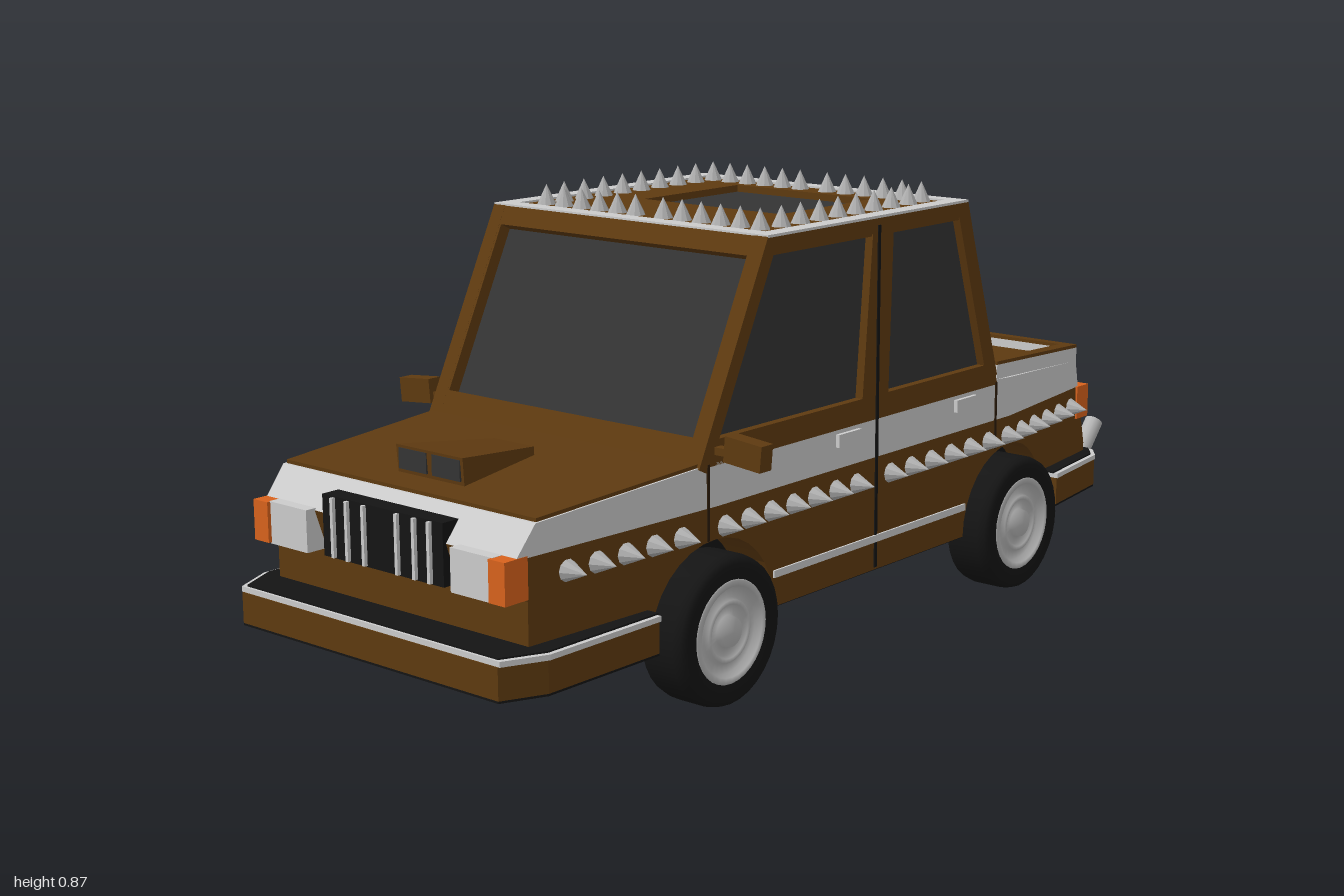
import * as THREE from 'three';

const mat = (color) => new THREE.MeshStandardMaterial({ color, flatShading: true });
const M = {
  brown: mat(0x5e3a10), white: mat(0xcccccc), black: mat(0x141414), glass: mat(0x343434),
  orange: mat(0xd8621c), steel: mat(0xb0b0b0), dark: mat(0x2a1a08),
};
const smooth = (color) => new THREE.MeshStandardMaterial({ color, side: THREE.DoubleSide });
const M_TYRE = smooth(0x141414), M_RIM = smooth(0xb8b8b8);
const AXLES = [0.475, -0.47];
const lerp = THREE.MathUtils.lerp;

// half width of the body along its length
function halfWidth(z) {
  if (z > AXLES[0]) return lerp(0.345, 0.315, (z - AXLES[0]) / 0.475);
  if (z < AXLES[1]) return lerp(0.345, 0.295, (AXLES[1] - z) / 0.38);
  return 0.345;
}

export function createModel() {
  const root = new THREE.Group();
  const add = (name, geo, material, x = 0, y = 0, z = 0) => {
    const m = new THREE.Mesh(geo, material);
    m.name = name;
    m.position.set(x, y, z);
    root.add(m);
    return m;
  };
  const box = (name, material, w, h, d, x, y, z) => add(name, new THREE.BoxGeometry(w, h, d), material, x, y, z);
  const both = (fn) => [1, -1].forEach(fn);
  const makeShape = (pts, holes = []) => {
    const s = new THREE.Shape(pts.map((p) => new THREE.Vector2(...p)));
    holes.forEach((h) => s.holes.push(new THREE.Path(h.map((p) => new THREE.Vector2(...p)))));
    return s;
  };
  const extrude = (shape, depth) => new THREE.ExtrudeGeometry(shape, { depth, bevelEnabled: false });

  // side profile [z, y] stretched from x0 to x1
  const profile = (pts, x0, x1, holes) =>
    extrude(makeShape(pts, holes), x1 - x0).rotateY(-Math.PI / 2).translate(x1, 0, 0);
  // side profile whose half width follows width(z)
  const tapered = (name, material, pts, width = halfWidth) => {
    const g = profile(pts, -1, 1), p = g.attributes.position;
    for (let i = 0; i < p.count; i++) p.setX(i, p.getX(i) * width(p.getZ(i)));
    g.computeVertexNormals();
    return add(name, g, material);
  };
  // plan outline from right-half points [x, z], mirrored, standing from y0 to y1
  const mirrored = (pts) => [...pts.map(([x, z]) => [x, -z]), ...pts.map(([x, z]) => [-x, -z]).reverse()];
  const plan = (pts, y0, y1, hole) =>
    extrude(makeShape(mirrored(pts), hole ? [mirrored(hole)] : []), y1 - y0).rotateX(-Math.PI / 2).translate(0, y0, 0);
  const rect = (x0, y0, x1, y1) => [[x0, y0], [x1, y0], [x1, y1], [x0, y1]];
  // quarter of a wheel arch, from angle a to b
  const arch = (zc, a, b) => Array.from({ length: 9 }, (_, i) => {
    const t = lerp(a, b, i / 8);
    return [zc + 0.165 * Math.cos(t), 0.14 + 0.165 * Math.sin(t)];
  });

  // lower body with wheel arches
  const [F, R] = AXLES, Q = Math.PI / 2;
  tapered('frontLowerBody', M.brown, [...arch(F, Q, 0), [0.92, 0.14], [0.92, 0.29], [0.945, 0.365], [F, 0.365]]);
  tapered('middleLowerBody', M.brown, [...arch(R, Q, 0), ...arch(F, Math.PI, Q), [F, 0.365], [R, 0.365]]);
  tapered('rearLowerBody', M.brown, [...arch(R, Math.PI, Q), [R, 0.365], [-0.81, 0.365], [-0.85, 0.23], [-0.85, 0.14]]);
  // white upper band
  tapered('frontUpperBand', M.white, [[F, 0.365], [0.945, 0.365], [0.9, 0.42], [F, 0.445]]);
  tapered('middleUpperBand', M.white, [[R, 0.365], [F, 0.365], [F, 0.445], [-0.42, 0.45], [R, 0.447]]);
  tapered('rearUpperBand', M.white, [[-0.81, 0.365], [R, 0.365], [R, 0.447], [-0.795, 0.425]]);
  tapered('hood', M.brown, [[0.48, 0.435], [0.895, 0.412], [0.895, 0.427], [0.48, 0.451]], (z) => halfWidth(z) - 0.004);

  // trunk: sloped rim around a sunken deck
  const rim = [[0.344, -0.42], [0.303, -0.795]], well = [[0.315, -0.44], [0.278, -0.765]];
  const slope = (g) => {
    const p = g.attributes.position;
    for (let i = 0; i < p.count; i++) p.setY(i, p.getY(i) + 0.068 * (p.getZ(i) + 0.42));
    g.computeVertexNormals();
    return g;
  };
  add('trunkRim', slope(plan(rim, 0.44, 0.48, well)), M.white);
  add('trunkRimCap', slope(plan(rim, 0.48, 0.487, well)), M.brown);
  add('trunkDeck', slope(plan(well, 0.44, 0.462)), M.brown);

  // chassis core and floor
  box('chassis', M.black, 0.52, 0.2, 1.74, 0, 0.239, 0.04);
  const frontPlan = [[0.365, 0.65], [0.362, 0.92], [0.325, 1]];
  const rearPlan = [[0.358, -0.64], [0.33, -0.84], [0.3, -0.88]];
  [frontPlan, rearPlan, [[0.343, 0.31], [0.343, -0.305]]].forEach((p) => add('floor', plan(p, 0.138, 0.142), M.black));
  box('driveShaft', M.brown, 0.025, 0.008, 0.72, 0, 0.137, -0.42);

  // wraparound bumpers with a pale trim line
  [['frontBumper', frontPlan], ['rearBumper', rearPlan]].forEach(([name, p]) => {
    const grown = p.map(([x, z]) => [x + 0.003, z > 0 ? z - 0.002 : z + 0.002]);
    add(name, plan(p, 0.142, 0.2), M.brown);
    add(name + 'Trim', plan(grown, 0.2, 0.21), M.white);
    add(name + 'Top', plan(p.map(([x, z]) => [x - 0.006, z * 0.993]), 0.21, 0.213), M.black);
  });
  box('sideTrim', M.white, 0.698, 0.014, 0.62, 0, 0.203, 0.003);

  // cabin sides with window openings
  const cabin = [[0.52, 0.44], [0.33, 0.83], [-0.3, 0.83], [-0.42, 0.44]];
  const windows = [
    [[0.465, 0.487], [0.32, 0.8], [0.016, 0.8], [0.043, 0.487]],
    [[-0.04, 0.487], [-0.05, 0.8], [-0.27, 0.8], [-0.37, 0.487]],
  ];
  both((s) => add('cabinSide', profile(cabin, s > 0 ? 0.315 : -0.345, s > 0 ? 0.345 : -0.315, windows), M.brown));
  add('glass', profile([[0.487, 0.45], [0.308, 0.815], [-0.28, 0.815], [-0.4, 0.45]], -0.328, 0.328), M.glass);

  // sloping screen frames
  const frame = (name, len, holes, y, z, tilt, turn) => {
    const g = extrude(makeShape(rect(-0.344, 0, 0.344, len), holes), 0.03).translate(0, 0, -0.03);
    add(name, g, M.brown, 0, y, z).rotation.set(-tilt, turn, 0, 'YXZ');
  };
  frame('windscreenFrame', 0.434, [rect(-0.31, 0.055, 0.31, 0.395)], 0.44, 0.52, 0.454, 0);
  frame('rearScreenFrame', 0.389,
    [rect(-0.295, 0.06, -0.012, 0.355), rect(0.012, 0.06, 0.295, 0.355)], 0.46, -0.42, 0.313, Math.PI);

  // roof with sunroof opening and pale border
  add('roof', plan([[0.343, 0.328], [0.343, -0.298]], 0.795, 0.829, [[0.174, 0.08], [0.174, -0.21]]), M.brown);
  add('roofBorder', plan([[0.345, 0.33], [0.345, -0.3]], 0.828, 0.833, [[0.31, 0.295], [0.31, -0.27]]), M.white);

  // roof spikes
  const roofSpike = new THREE.ConeGeometry(0.019, 0.04, 10);
  both((s) => {
    for (let i = 0; i < 6; i++) {
      [0.26, -0.245].forEach((z) => add('roofSpike', roofSpike, M.steel, s * (0.035 + i * 0.047), 0.849, z));
    }
    for (let i = 0; i < 8; i++) add('roofSpike', roofSpike, M.steel, s * 0.275, 0.849, 0.205 - i * 0.057);
  });

  // side spikes, one row per panel: [first z, last z, count]
  const sideSpike = new THREE.ConeGeometry(0.022, 0.048, 10).rotateZ(-Math.PI / 2);
  [[0.83, 0.56, 5], [0.45, 0.06, 7], [-0.05, -0.39, 6], [-0.46, -0.77, 6]].forEach(([a, b, n]) => {
    for (let i = 0; i < n; i++) {
      const z = lerp(a, b, i / (n - 1));
      both((s) => { add('sideSpike', sideSpike, M.steel, s * (halfWidth(z) + 0.02), 0.325, z).rotation.y = s > 0 ? 0 : Math.PI; });
    }
  });

  both((s) => {
    // door seams and handles
    box('doorSeam', M.black, 0.004, 0.67, 0.008, s * 0.345, 0.48, -0.003);
    box('doorSeam', M.dark, 0.004, 0.14, 0.006, s * 0.344, 0.375, 0.495);
    box('doorSeam', M.dark, 0.004, 0.14, 0.006, s * 0.345, 0.375, -0.415);
    [0.09, -0.3].forEach((z) => box('doorHandle', M.white, 0.014, 0.025, 0.07, s * 0.346, 0.42, z));
    // mirrors
    box('mirrorStem', M.brown, 0.05, 0.014, 0.018, s * 0.36, 0.467, 0.47);
    box('mirror', M.brown, 0.083, 0.048, 0.032, s * 0.416, 0.473, 0.472).rotation.z = -s * 0.09;
    // lamps
    box('headlight', M.white, 0.1, 0.078, 0.07, s * 0.232, 0.33, 0.93);
    box('frontIndicator', M.orange, 0.038, 0.075, 0.09, s * 0.298, 0.331, 0.927);
    box('reverseLamp', M.white, 0.11, 0.07, 0.04, s * 0.215, 0.33, -0.822);
    box('rearIndicator', M.orange, 0.036, 0.072, 0.045, s * 0.288, 0.33, -0.822);
    // scoop intakes
    box('scoopIntake', M.glass, 0.07, 0.038, 0.01, s * 0.042, 0.457, 0.834);
  });
  tapered('hoodScoop', M.brown, [[0.63, 0.425], [0.833, 0.41], [0.838, 0.481], [0.63, 0.458]],
    (z) => lerp(0.05, 0.084, (z - 0.63) / 0.208));

  // grille
  box('grille', M.black, 0.304, 0.112, 0.06, 0, 0.346, 0.922);
  [0.042, 0.085, 0.122].forEach((x) => both((s) => box('grilleBar', M.white, 0.007, 0.108, 0.01, s * x, 0.346, 0.954)));

  // exhaust pipes
  const path = new THREE.CatmullRomCurve3([[-0.84, 0.185], [-0.885, 0.178], [-0.925, 0.185], [-0.955, 0.215], [-0.985, 0.248]]
    .map(([z, y]) => new THREE.Vector3(0, y, z)));
  const pipe = new THREE.TubeGeometry(path, 16, 0.02, 12);
  [0.135, 0.24].forEach((x) => both((s) => add('exhaustPipe', pipe, M_RIM, s * x)));

  // wheels: tyre and stepped rim, turned about the axle
  const lathe = (pts) => new THREE.LatheGeometry(pts.map((p) => new THREE.Vector2(...p)), 32).rotateZ(-Math.PI / 2);
  const tyre = lathe([[0.09, -0.045], [0.125, -0.052], [0.136, -0.045], [0.14, -0.03], [0.14, 0.03], [0.136, 0.045], [0.125, 0.052], [0.095, 0.048]]);
  const rimGeo = lathe([[0, -0.03], [0.09, -0.045], [0.1, 0.046], [0.094, 0.05], [0.084, 0.05], [0.08, 0.036], [0.062, 0.036],
    [0.058, 0.044], [0.05, 0.044], [0.046, 0.036], [0.03, 0.038], [0.027, 0.05], [0, 0.052]]);
  AXLES.forEach((z) => both((s) => {
    const wheel = new THREE.Group();
    wheel.name = 'wheel';
    [['tyre', tyre, M_TYRE], ['rim', rimGeo, M_RIM]].forEach(([name, g, m]) => {
      const part = new THREE.Mesh(g, m);
      part.name = name;
      wheel.add(part);
    });
    wheel.position.set(s * 0.333, 0.14, z);
    wheel.rotation.y = s > 0 ? 0 : Math.PI;
    root.add(wheel);
  }));

  return root;
}
